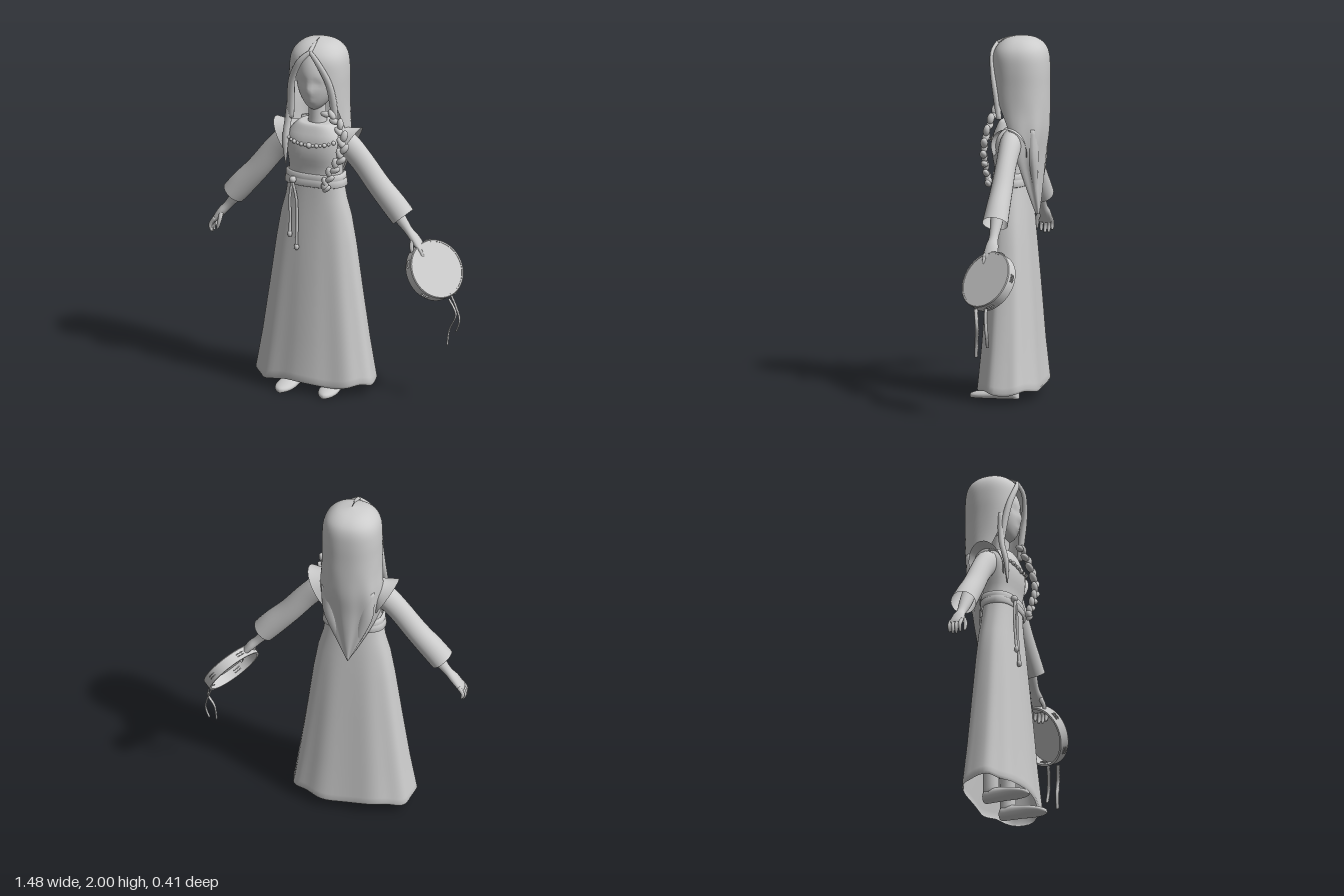
import * as THREE from 'three';

const gray = new THREE.MeshStandardMaterial({ color: 0xcccccc, side: THREE.DoubleSide });
gray.name = 'plain gray';
const CX = -0.095; // centre line of the figure
const V = (x, y, z) => new THREE.Vector3(x, y, z);

// Catmull-Rom interpolation of every column of a table
function smooth(rows, k) {
  const out = [];
  for (let i = 0; i < rows.length - 1; i++) {
    const [a, b, c, d] = [rows[Math.max(i - 1, 0)], rows[i], rows[i + 1], rows[Math.min(i + 2, rows.length - 1)]];
    for (let j = 0; j < k; j++) {
      const t = j / k;
      out.push(b.map((_, n) => 0.5 * (2 * b[n] + (c[n] - a[n]) * t + (2 * a[n] - 5 * b[n] + 4 * c[n] - d[n]) * t * t
        + (3 * b[n] - a[n] - 3 * c[n] + d[n]) * t * t * t)));
    }
  }
  out.push(rows[rows.length - 1]);
  return out;
}

// Skin over rings of points, closed around when wrap is set
function skin(rings, wrap, cap) {
  const n = rings[0].length, pos = rings.flat().flatMap(p => [p.x, p.y, p.z]), idx = [];
  for (let i = 0; i < rings.length - 1; i++) {
    for (let j = 0; j < (wrap ? n : n - 1); j++) {
      const a = i * n + j, b = i * n + (j + 1) % n;
      idx.push(a, a + n, b, b, a + n, b + n);
    }
  }
  if (cap) [0, rings.length - 1].forEach((r, e) => {
    const c = rings[r].reduce((s, p) => s.add(p), V(0, 0, 0)).divideScalar(n);
    const k = pos.push(c.x, c.y, c.z) / 3 - 1;
    for (let j = 0; j < n; j++) {
      const a = r * n + j, b = r * n + (j + 1) % n;
      idx.push(...(e ? [a, k, b] : [a, b, k]));
    }
  });
  const g = new THREE.BufferGeometry();
  g.setAttribute('position', new THREE.Float32BufferAttribute(pos, 3));
  g.setIndex(idx);
  g.computeVertexNormals();
  return g;
}

const pw = (v, p) => Math.sign(v) * Math.abs(v) ** (2 / p);

// Stack of rounded horizontal sections, bottom to top: [y, rx, rz, cz]
function stack(rows, p, n, cap, warp) {
  return skin(rows.map(([y, rx, rz, cz]) => Array.from({ length: n }, (_, j) => {
    const a = -j / n * Math.PI * 2;
    const v = V(CX + rx * pw(Math.sin(a), p), y, cz + rz * pw(Math.cos(a), p));
    if (warp) warp(v, a);
    return v;
  })), true, cap);
}

// Swept limb: [x, y, z, side radius, depth radius]
function sweep(rows, k = 4, n = 12, cap = true) {
  const r = smooth(rows, k);
  return skin(r.map((q, i) => {
    const a = r[Math.max(i - 1, 0)], b = r[Math.min(i + 1, r.length - 1)];
    const t = V(b[0] - a[0], b[1] - a[1], b[2] - a[2]).normalize();
    const u = t.clone().cross(V(0, 0, 1)).normalize(), w = u.clone().cross(t);
    return Array.from({ length: n }, (_, j) => {
      const s = j / n * Math.PI * 2;
      return V(q[0], q[1], q[2]).addScaledVector(u, q[3] * Math.cos(s)).addScaledVector(w, q[4] * Math.sin(s));
    });
  }), true, cap);
}

export function createModel() {
  const root = new THREE.Group();
  root.name = 'robedWoman';
  const add = (name, g, parent = root) => {
    const m = new THREE.Mesh(g, gray);
    m.name = name;
    parent.add(m);
    return m;
  };
  const ball = (name, x, y, z, r, sx = 1, sy = 1, sz = 1) => {
    const m = add(name, new THREE.SphereGeometry(r, 14, 10));
    m.position.set(x, y, z);
    m.scale.set(sx, sy, sz);
    return m;
  };

  // Gown: long skirt with soft folds and a wavy hem
  add('skirt', stack([[.055, .335, .166, -.006], [.07, .344, .173, -.006], [.1, .338, .17, -.006], [.3, .305, .152, -.006],
    [.6, .262, .132, -.006], [.85, .228, .113, -.006], [1, .202, .102, -.005], [1.1, .174, .094, -.003], [1.2, .158, .088, 0]],
  2.5, 72, false, (v, a) => {
    const f = Math.max(0, 1 - v.y / 1.1);
    v.x += Math.sin(a) * .006 * f * Math.cos(9 * a);
    v.z += Math.cos(a) * .006 * f * Math.cos(9 * a);
    if (v.y < .12) v.y += .01 * Math.cos(5 * a + 1);
  }));
  add('bodice', stack(smooth([[1.19, .158, .088, 0], [1.27, .15, .088, .002], [1.36, .16, .1, .004], [1.44, .165, .1, 0],
    [1.49, .14, .092, -.008], [1.525, .105, .08, -.012], [1.53, .085, .066, -.015]], 3), 2.6, 40, true));
  add('belt', stack([[1.175, .164, .094, 0], [1.18, .178, .104, 0], [1.212, .174, .102, 0], [1.216, .167, .096, 0],
    [1.22, .172, .1, 0], [1.245, .17, .098, 0], [1.25, .156, .09, 0]], 2.5, 48, false));

  // Cord knot and hanging ends
  ball('beltKnot', -.19, 1.21, .106, .02);
  [[-.2, .9], [-.16, .83]].forEach(([x, y]) => {
    add('beltCord', sweep([[-.19, 1.21, .112, .008, .008], [x - .005, 1.1, .112, .008, .008],
      [x, (y + 1.1) / 2, .115, .008, .008], [x, y, .124, .009, .009]], 4, 8));
    ball('cordTip', x, y, .123, .014, 1, 1.4, 1);
  });

  // Bead row across the chest
  for (let i = -6; i <= 6; i++) {
    const x = i * .0225, r = i === 0 ? .016 : i % 2 ? .009 : .012;
    ball('bead', CX + x, 1.42 + .022 * (i / 6) ** 2, .104 - .03 * (i / 6) ** 4, r);
  }

  // Head and neck
  add('neck', stack([[1.48, .06, .058, -.02], [1.56, .048, .048, -.015], [1.68, .05, .05, -.01]], 2, 20, false));
  const head = new THREE.SphereGeometry(1, 40, 32), hp = head.attributes.position;
  const bump = (dx, dy) => Math.exp(-(dx * dx + dy * dy));
  for (let i = 0; i < hp.count; i++) {
    const x = hp.getX(i), y = hp.getY(i), z = hp.getZ(i);
    const jaw = y < 0 ? y * y : 0, front = Math.max(z, 0);
    const nose = bump(x / .14, (y + .3) / .17) * front;
    const eyes = bump((Math.abs(x) - .35) / .2, (y + .05) / .13) * front;
    const lips = bump(x / .2, (y + .62) / .07) * front;
    hp.setXYZ(i, CX + x * .12 * (1 - .3 * jaw), 1.785 + y * .18,
      -.03 + z * .13 + .045 * jaw + nose * .016 - eyes * .01 + lips * .008);
  }
  head.computeVertexNormals();
  add('head', head);

  // Long hair: a sheet open around the face, narrowing to a point down the back
  const hairRows = smooth([[2, .001, .001, -.05, .02], [1.985, .08, .075, -.05, .02], [1.95, .13, .125, -.05, .03],
    [1.9, .156, .15, -.048, .28], [1.82, .164, .157, -.048, .6], [1.72, .164, .157, -.048, .75], [1.6, .166, .153, -.052, 1.08],
    [1.48, .172, .14, -.06, 1.35], [1.35, .165, .12, -.062, 1.55], [1.22, .115, .085, -.085, 1.6],
    [1.1, .055, .05, -.11, 1.6], [1.01, .006, .02, -.13, 1.6]], 4);
  add('hair', skin(hairRows.map(([y, rx, rz, cz, o]) => Array.from({ length: 49 }, (_, j) => {
    const a = o + (2 * Math.PI - 2 * o) * j / 48;
    const f = 1 + .05 * Math.cos(8 * a) * Math.min(1, Math.max(0, (1.65 - y) * 2.5));
    return V(CX + rx * f * pw(Math.sin(a), 2.3), y, cz + rz * f * pw(Math.cos(a), 2.3));
  })), false, false));
  [-1, 1].forEach(s => {
    // Locks that frame the face and fall behind the shoulders
    add('faceLock', sweep([[CX, 1.955, .085, .012, .01], [CX + s * .055, 1.9, .102, .017, .012], [CX + s * .108, 1.79, .083, .02, .016],
      [CX + s * .126, 1.67, .06, .022, .018], [CX + s * .132, 1.55, .045, .018, .016]]));
    add('backLock', sweep([[CX + s * .1, 1.5, -.14, .05, .03], [CX + s * .1, 1.35, -.14, .045, .03],
      [CX + s * .07, 1.22, -.14, .03, .02], [CX + s * .05, 1.12, -.14, .004, .004]]));
  });
  add('sideStrand', sweep([[-.225, 1.72, .04, .018, .018], [-.24, 1.55, .05, .02, .016], [-.245, 1.42, .08, .018, .014], [-.24, 1.29, .085, .003, .003]]));
  add('crownPart', sweep([[CX, 1.955, .086, .012, .008], [CX, 1.975, .05, .012, .006], [CX, 1.992, 0, .006, .004]]));

  // Braid over the left shoulder, of overlapping tilted strands
  const braid = new THREE.CatmullRomCurve3([V(-.005, 1.61, .065), V(.06, 1.57, .075), V(.108, 1.47, .1),
    V(.095, 1.37, .115), V(.035, 1.27, .118), V(.005, 1.19, .112)]);
  for (let i = 0; i <= 15; i++) {
    const t = i / 15, p = braid.getPointAt(t), d = braid.getTangentAt(t), s = i % 2 ? 1 : -1;
    const side = V(-d.y, d.x, 0).normalize(), r = .027 - .008 * Math.abs(t - .4);
    const m = ball('braidStrand', p.x + side.x * s * .011, p.y + side.y * s * .011, p.z, r, .72, 1.3, .8);
    m.quaternion.setFromUnitVectors(V(0, 1, 0), d.clone().addScaledVector(side, -s * .6).normalize());
  }
  ball('braidTip', .005, 1.2, .112, .022, 1, 1.2, .9);

  [-1, 1].forEach(s => {
    const X = x => CX + s * x;
    const limb = rows => rows.map(([x, ...r]) => [X(x), ...r]);
    // Sleeve with a flared open cuff
    add('sleeve', sweep(limb([[.1, 1.46, -.03, .05, .05], [.17, 1.415, -.03, .068, .06], [.26, 1.325, -.03, .066, .056],
      [.36, 1.2, -.03, .066, .06], [.45, 1.1, -.03, .07, .066], [.506, 1.035, -.03, .068, .071]]), 4, 24, false));
    add('forearm', sweep(limb([[.4, 1.16, -.03, .04, .04], [.47, 1.05, -.03, .036, .036], [.535, .965, -.03, .024, .026],
      [.575, .92, -.03, .024, .036], [.61, .875, -.03, .018, .04], [.622, .858, -.03, .012, .036]]), 4, 16));
    // Four fingers and a thumb
    [.8, .97, 1, .9].forEach((l, i) => {
      const z = -.062 + i * .021;
      add('finger', sweep(limb([[.605, .885, z, .011, .011], [.605 + .028 * l, .885 - .04 * l, z, .011, .0105],
        [.605 + .03 * l, .885 - .068 * l, z, .01, .01], [.605 + .022 * l, .885 - .09 * l, z, .006, .006]]), 3, 8));
    });
    add('thumb', sweep(limb([[.572, .92, -.012, .014, .014], [.572, .885, .008, .012, .012],
      [.58, .85, .012, .01, .01], [.587, .826, .01, .006, .006]]), 3, 8));
    // Flared shoulder cap over the armhole
    const rim = (x0, x1, y, h, d) => Array.from({ length: 25 }, (_, j) => {
      const a = (j / 24 - .5) * 3.9;
      return V(X(x0 + x1 * Math.cos(a)), y + h * Math.cos(a), -.025 + d * Math.sin(a));
    });
    add('shoulderCap', skin([rim(.13, -.05, 1.4, .12, .07), rim(.155, .025, 1.4, .105, .088), rim(.18, .075, 1.39, .125, .1)], false, false));
    // Ankle and pointed shoe
    const fx = X(.122);
    add('ankle', sweep([[X(.09), .6, -.02, .06, .06], [fx, .2, -.02, .045, .045], [fx, .03, -.02, .042, .045]], 3, 14));
    add('shoe', skin(smooth([[-.065, .01, .025], [-.055, .04, .06], [-.01, .045, .072], [.05, .05, .066],
      [.12, .056, .05], [.17, .045, .036], [.2, .022, .025], [.208, .003, .014]], 3)
      .map(([z, w, h]) => Array.from({ length: 20 }, (_, j) => {
        const a = -j / 20 * Math.PI * 2;
        return V(fx + s * z * .04 + w * Math.cos(a), Math.max(0, h * (.42 + .58 * Math.sin(a))), z);
      })), true, true));
  });

  // Tambourine held in the left hand
  const drum = new THREE.Group();
  drum.name = 'tambourine';
  drum.position.set(.595, .748, -.04);
  drum.quaternion.setFromUnitVectors(V(0, 1, 0), V(.73, .5, .45).normalize());
  root.add(drum);
  const P = (x, y) => new THREE.Vector2(x, y);
  const hoop = [[.154, -.03], [.166, -.03], [.166, .026], [.162, .031], [.154, .031], [.154, -.03]];
  hoop.slice(1).forEach((b, i) => add('hoop', new THREE.LatheGeometry([P(...hoop[i]), P(...b)], 48), drum));
  add('drumSkin', new THREE.CylinderGeometry(.156, .156, .004, 48), drum).position.y = .026;
  for (let i = 0; i < 5; i++) {
    for (const e of [-.06, .06]) for (const y of [-.008, .006]) {
      const a = i / 5 * Math.PI * 2 + e, m = add('jingle', new THREE.CylinderGeometry(.014, .014, .004, 12), drum);
      m.position.set(.16 * Math.cos(a), y, .16 * Math.sin(a));
    }
  }

  // Ribbons hanging from the hoop
  add('ribbon', sweep([[.7, .61, .005, .004, .011], [.735, .52, -.01, .004, .011], [.7, .43, 0, .004, .011], [.69, .34, .006, .004, .01]], 5, 8));
  add('ribbon', sweep([[.69, .61, -.05, .004, .01], [.715, .55, -.055, .004, .01], [.733, .47, -.065, .004, .01], [.712, .4, -.065, .004, .009]], 5, 8));
  return root;
}
